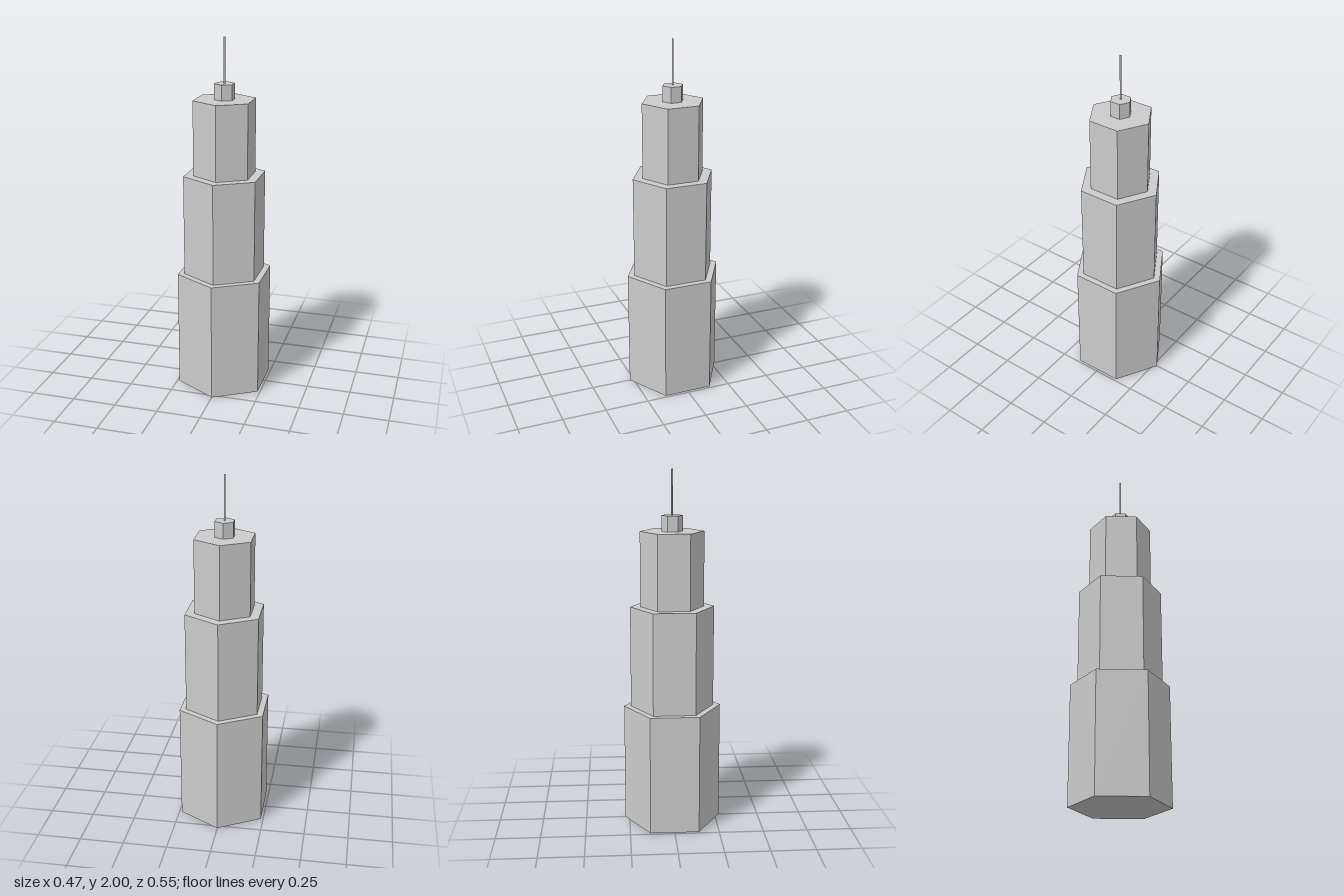
import * as THREE from 'three';

export function createModel() {
  const group = new THREE.Group();
  const material = new THREE.MeshStandardMaterial({ color: 0xcccccc, flatShading: true });

  // Upright prism between two heights; its corners point along +z and -z
  function addPrism(name, radius, bottom, top, sides) {
    const geometry = new THREE.CylinderGeometry(radius, radius, top - bottom, sides);
    const mesh = new THREE.Mesh(geometry, material);
    mesh.name = name;
    mesh.position.y = (bottom + top) / 2;
    group.add(mesh);
  }

  // Stepped hexagonal tower
  addPrism('lowerTier', 0.273, 0, 0.677, 6);
  addPrism('middleTier', 0.234, 0.677, 1.25, 6);
  addPrism('upperTier', 0.177, 1.25, 1.667, 6);
  addPrism('roofCap', 0.058, 1.667, 1.753, 6);

  // Thin mast on the roof cap
  addPrism('antenna', 0.005, 1.753, 2, 12);

  return group;
}
